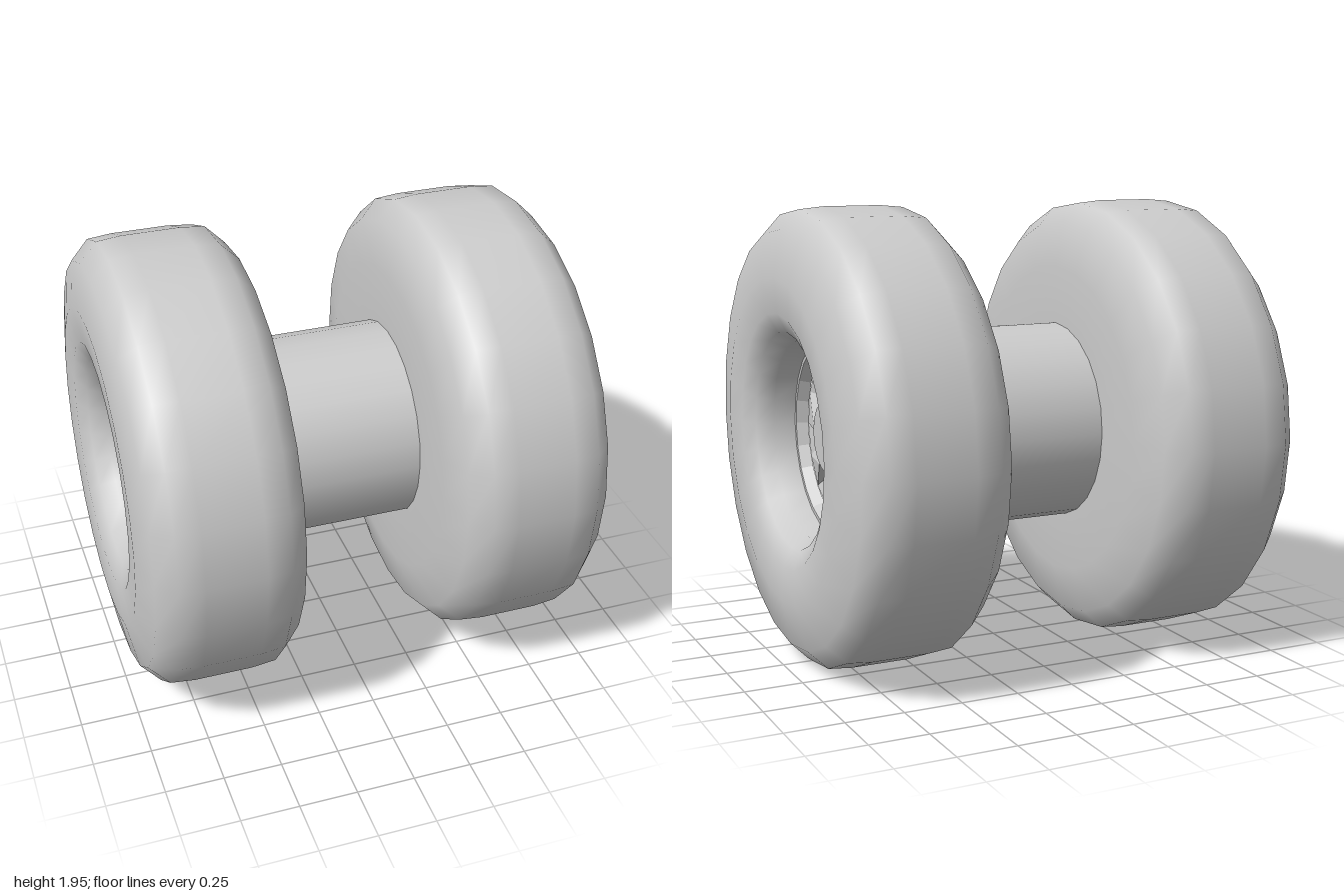
import * as THREE from 'three';

const SIDES = 24;
const R = 0.975; // tyre radius, also the axle height

const material = new THREE.MeshStandardMaterial({ color: 0xcccccc });
const thinMaterial = new THREE.MeshStandardMaterial({
  color: 0xcccccc, flatShading: true, side: THREE.DoubleSide,
});

function addMesh(parent, name, geometry, mat = material) {
  const mesh = new THREE.Mesh(geometry, mat);
  mesh.name = name;
  parent.add(mesh);
  return mesh;
}

// Revolve [radius, x] pairs around the x axis
function revolve(profile) {
  const points = profile.map(([r, x]) => new THREE.Vector2(r, x));
  return new THREE.LatheGeometry(points, SIDES).rotateZ(-Math.PI / 2);
}

// Eight overlapping panels, each ending in a small step down to the next
function fanGeometry(hand) {
  const blades = 8, pitch = (Math.PI * 2) / blades;
  const positions = [];
  const at = (r, a, x) => [x, r * Math.cos(a), hand * r * Math.sin(a)];
  const triangle = (a, b, c) => positions.push(...a, ...b, ...c);
  for (let i = 0; i < blades; i++) {
    const a0 = i * pitch, a1 = a0 + pitch;
    const hubStart = at(0.155, a0, 0.75), hubEnd = at(0.155, a1, 0.75);
    const low = at(0.22, a0 + 0.11, 0.70);
    const high = at(0.2, a1, 0.77);
    const rimStart = at(0.375, a0, 0.735), rimMid = at(0.375, a0 + pitch / 2, 0.735);
    const rimEnd = at(0.375, a1, 0.735);
    // Panel surface
    triangle(low, rimMid, rimStart);
    triangle(low, high, rimMid);
    triangle(high, rimEnd, rimMid);
    triangle(low, hubEnd, high);
    triangle(low, hubStart, hubEnd);
    // Step between neighbouring panels
    const previousHigh = at(0.2, a0, 0.77);
    triangle(previousHigh, low, rimStart);
    triangle(previousHigh, hubStart, low);
  }
  const geometry = new THREE.BufferGeometry();
  geometry.setAttribute('position', new THREE.Float32BufferAttribute(positions, 3));
  geometry.computeVertexNormals();
  return geometry;
}

// One wheel with its outer face towards +x
function makeWheel(name, hand) {
  const wheel = new THREE.Group();
  wheel.name = name;

  // Tyre: flat inner wall, rounded tread, deep outer recess
  addMesh(wheel, 'tyre', revolve([
    [0.42, 0.31], [0.69, 0.31], [0.885, 0.345], [0.965, 0.425], [R, 0.53],
    [R, 0.78], [0.965, 0.885], [0.885, 0.965], [0.69, 1.0], [0.54, 0.99],
    [0.46, 0.95], [0.42, 0.88], [0.41, 0.76],
  ]));

  // Rim: narrow lip stepping down to the panels
  addMesh(wheel, 'rim', revolve([
    [0.412, 0.785], [0.395, 0.785], [0.375, 0.735],
  ]), thinMaterial);

  addMesh(wheel, 'wheelPanels', fanGeometry(hand), thinMaterial);

  // Hub cap
  const hub = new THREE.CylinderGeometry(0.152, 0.165, 0.1, 16).rotateZ(-Math.PI / 2);
  hub.translate(0.74, 0, 0);
  addMesh(wheel, 'hubCap', hub);

  wheel.position.y = R;
  return wheel;
}

export function createModel() {
  const model = new THREE.Group();
  model.name = 'wheelPair';

  // Thick axle joining the wheels
  const axle = addMesh(model, 'axle',
    new THREE.CylinderGeometry(0.435, 0.435, 0.64, SIDES).rotateZ(-Math.PI / 2));
  axle.position.y = R;

  model.add(makeWheel('leftWheel', 1));
  const rightWheel = makeWheel('rightWheel', -1);
  rightWheel.rotation.y = Math.PI;
  model.add(rightWheel);
  return model;
}
